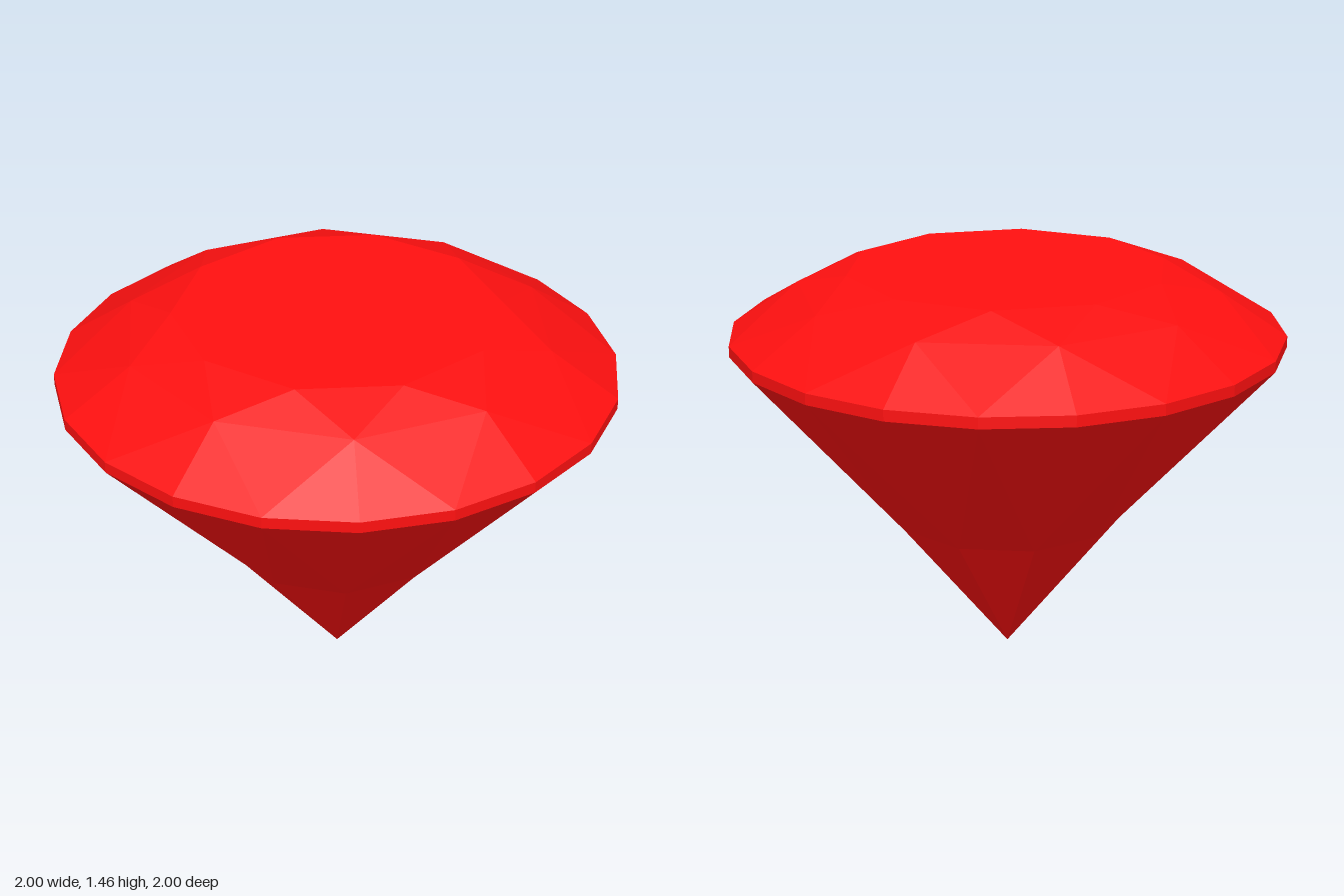
import * as THREE from 'three';

const SIDES = 20;

// Ring point: step counts twentieths of a turn, from +x towards +z
const at = (radius, y, step) => {
  const a = (step / SIDES) * Math.PI * 2;
  return [radius * Math.cos(a), y, radius * Math.sin(a)];
};

// Rings of corners, from top to bottom
const table = (s) => at(0.58, 1.455, s);
const crownMid = (s) => at(0.76, 1.383, s);
const girdleTop = (s) => at(1, 1.225, s);
const girdleBottom = (s) => at(1, 1.185, s);
const pavilionMid = (s) => at(0.432, 0.533, s);
const culet = [0, 0, 0];

export function createModel() {
  const group = new THREE.Group();
  group.name = 'gem';
  const material = new THREE.MeshStandardMaterial({ color: 0xff1010, flatShading: true });

  // Repeats a list of triangles for every second step around the stone
  const addFacets = (name, trianglesAt) => {
    const points = [];
    for (let s = 0; s < SIDES; s += 2) points.push(...trianglesAt(s).flat(2));
    const geometry = new THREE.BufferGeometry();
    geometry.setAttribute('position', new THREE.Float32BufferAttribute(points, 3));
    geometry.computeVertexNormals();
    const mesh = new THREE.Mesh(geometry, material);
    mesh.name = name;
    group.add(mesh);
  };

  // Flat ten-sided top
  addFacets('table', (s) => [[[0, 1.455, 0], table(s + 2), table(s)]]);

  // Triangles along the table edge
  addFacets('starFacets', (s) => [[table(s), table(s + 2), crownMid(s + 1)]]);

  // Large kites from table corner to girdle
  addFacets('crownKites', (s) => [
    [table(s), crownMid(s + 1), crownMid(s - 1)],
    [girdleTop(s), crownMid(s - 1), crownMid(s + 1)],
  ]);

  // Paired triangles just above the girdle
  addFacets('upperGirdleFacets', (s) => [
    [girdleTop(s), crownMid(s + 1), girdleTop(s + 1)],
    [girdleTop(s + 1), crownMid(s + 1), girdleTop(s + 2)],
  ]);

  // Thin twenty-sided band
  addFacets('girdle', (s) => [s, s + 1].flatMap((i) => [
    [girdleBottom(i), girdleTop(i), girdleTop(i + 1)],
    [girdleBottom(i), girdleTop(i + 1), girdleBottom(i + 1)],
  ]));

  // Paired triangles just below the girdle
  addFacets('lowerGirdleFacets', (s) => [
    [girdleBottom(s), girdleBottom(s + 1), pavilionMid(s + 1)],
    [girdleBottom(s + 1), girdleBottom(s + 2), pavilionMid(s + 1)],
  ]);

  // Long kites running down to the point
  addFacets('pavilionKites', (s) => [
    [girdleBottom(s), pavilionMid(s + 1), pavilionMid(s - 1)],
    [culet, pavilionMid(s - 1), pavilionMid(s + 1)],
  ]);

  return group;
}
